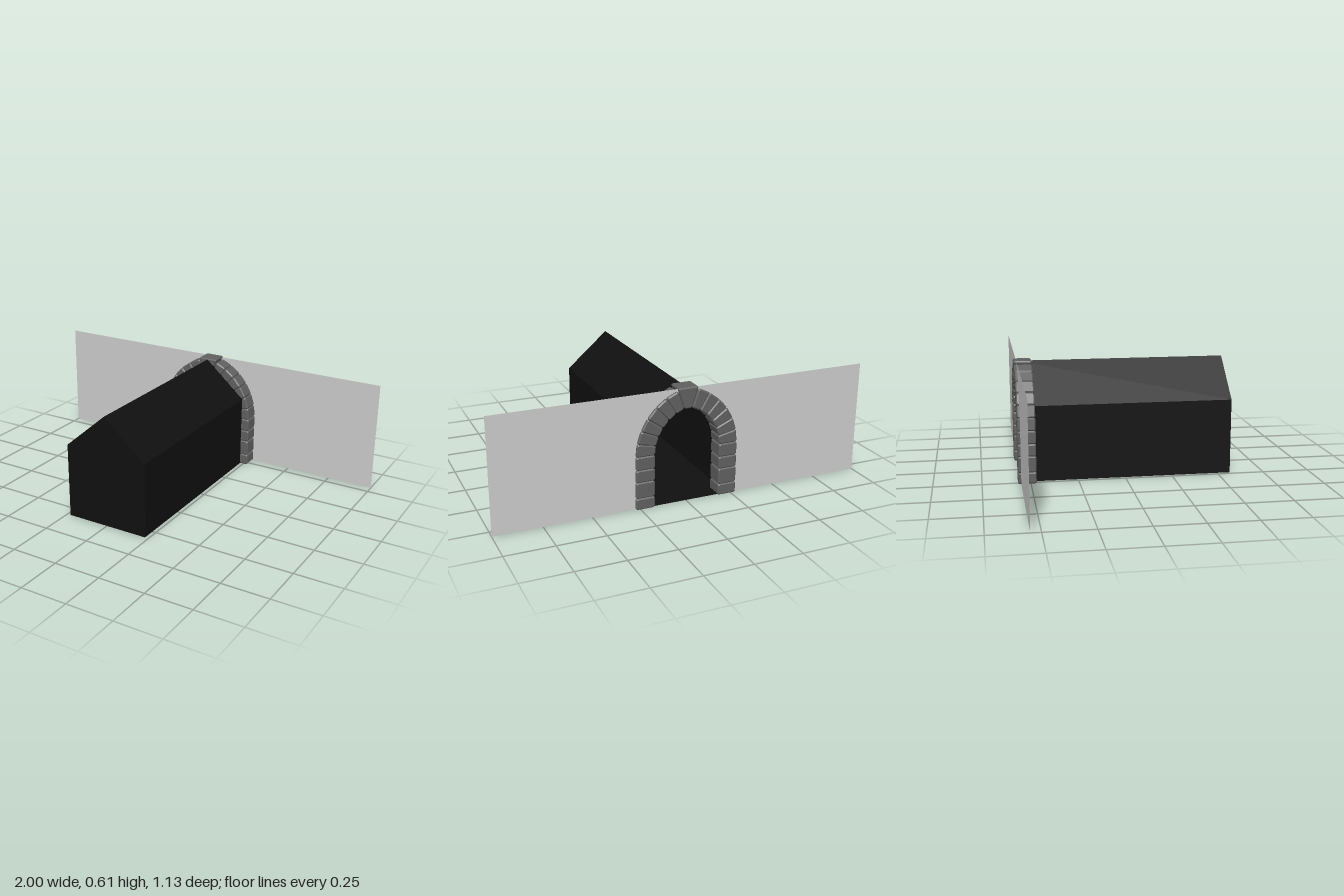
import * as THREE from 'three';

const WALL_Z = -0.55, FRONT_Z = 0.57;   // wall plane and closed tunnel end
const STONE_Z = -0.565, STONE_D = 0.095; // arch ring position and depth
const OUT = 0.275, THICK = 0.1;          // half width and thickness of the ring
const SPRING = 0.28, OFFSET = 0.0545;    // springing height and arc centre offset
const RADIUS = OUT + OFFSET;

// gabled tunnel section, counter-clockwise
const section = [[-0.23, 0], [0.23, 0], [0.23, 0.4], [0, 0.6], [-0.23, 0.4]];

const makeMaterial = (color, double = false) => new THREE.MeshStandardMaterial({
  color, flatShading: true, side: double ? THREE.DoubleSide : THREE.FrontSide,
});

const makeShape = (points) => new THREE.Shape(points.map(([x, y]) => new THREE.Vector2(x, y)));

// one voussoir: a four-sided outline with chamfered corners and bevelled faces
function makeStone(corners, material, name) {
  const cut = 0.007, bevel = 0.006;
  const p = corners.map(([x, y]) => new THREE.Vector2(x, y));
  const outline = [];
  p.forEach((c, i) => {
    for (const n of [p[(i + 3) % 4], p[(i + 1) % 4]]) {
      outline.push(c.clone().add(n.clone().sub(c).setLength(cut)));
    }
  });
  const geometry = new THREE.ExtrudeGeometry(new THREE.Shape(outline), {
    depth: STONE_D - 2 * bevel, bevelEnabled: true, bevelSegments: 1,
    bevelSize: bevel, bevelThickness: bevel, bevelOffset: -bevel,
  });
  geometry.translate(0, 0, STONE_Z + bevel);
  const mesh = new THREE.Mesh(geometry, material);
  mesh.name = name;
  return mesh;
}

function makeArch() {
  const arch = new THREE.Group();
  arch.name = 'stoneArch';
  const material = makeMaterial(0x606060);

  // joints from the ground up: straight leg, then the pointed arc
  const joints = [0, 0.06, 0.145, 0.21, SPRING].map((y) => [[OUT, y], [OUT - THICK, y]]);
  const endAngle = Math.acos((0.055 + OFFSET) / RADIUS);
  for (let i = 1; i <= 6; i++) {
    const a = endAngle * i / 6;
    joints.push([RADIUS, RADIUS - THICK].map((r) =>
      [r * Math.cos(a) - OFFSET, SPRING + r * Math.sin(a)]));
  }

  for (const side of [1, -1]) {
    for (let i = 0; i < joints.length - 1; i++) {
      const [a, b] = joints[i], [d, c] = joints[i + 1];
      const corners = [a, d, c, b].map(([x, y]) => [side * x, y]);
      arch.add(makeStone(corners, material, i < 4 ? 'legStone' : 'archStone'));
    }
  }

  // keystone closing the top
  const [outer, inner] = joints[joints.length - 1];
  const innerX = Math.max(inner[0], 0.022);
  arch.add(makeStone(
    [[-innerX, inner[1]], [innerX, inner[1]], [outer[0], 0.605], [-outer[0], 0.605]],
    material, 'keystone'));
  return arch;
}

// tunnel: side faces swept along z, open at the wall and closed at the far end
function makeTunnel() {
  const tunnel = new THREE.Group();
  tunnel.name = 'tunnel';
  const material = makeMaterial(0x101010, true);
  const positions = [];
  section.forEach(([x0, y0], i) => {
    const [x1, y1] = section[(i + 1) % section.length];
    positions.push(
      x0, y0, WALL_Z, x1, y1, WALL_Z, x1, y1, FRONT_Z,
      x0, y0, WALL_Z, x1, y1, FRONT_Z, x0, y0, FRONT_Z);
  });
  const geometry = new THREE.BufferGeometry();
  geometry.setAttribute('position', new THREE.Float32BufferAttribute(positions, 3));
  geometry.computeVertexNormals();
  const shell = new THREE.Mesh(geometry, material);
  shell.name = 'tunnelShell';
  const end = new THREE.Mesh(new THREE.ShapeGeometry(makeShape(section)), material);
  end.name = 'tunnelEnd';
  end.position.z = FRONT_Z;
  tunnel.add(shell, end);
  return tunnel;
}

// thin wall, one half on each side of the tunnel opening
function makeWall() {
  const wall = new THREE.Group();
  wall.name = 'wall';
  const material = makeMaterial(0xcccccc, true);
  for (const side of [1, -1]) {
    const half = [[0.23, 0], [1, 0], [1, 0.6], [0, 0.6], [0.23, 0.4]];
    const mesh = new THREE.Mesh(
      new THREE.ShapeGeometry(makeShape(half.map(([x, y]) => [side * x, y]))), material);
    mesh.name = side > 0 ? 'leftWall' : 'rightWall';
    mesh.position.z = WALL_Z;
    wall.add(mesh);
  }
  return wall;
}

export function createModel() {
  const model = new THREE.Group();
  model.name = 'tunnelEntrance';
  model.add(makeWall(), makeTunnel(), makeArch());
  return model;
}
